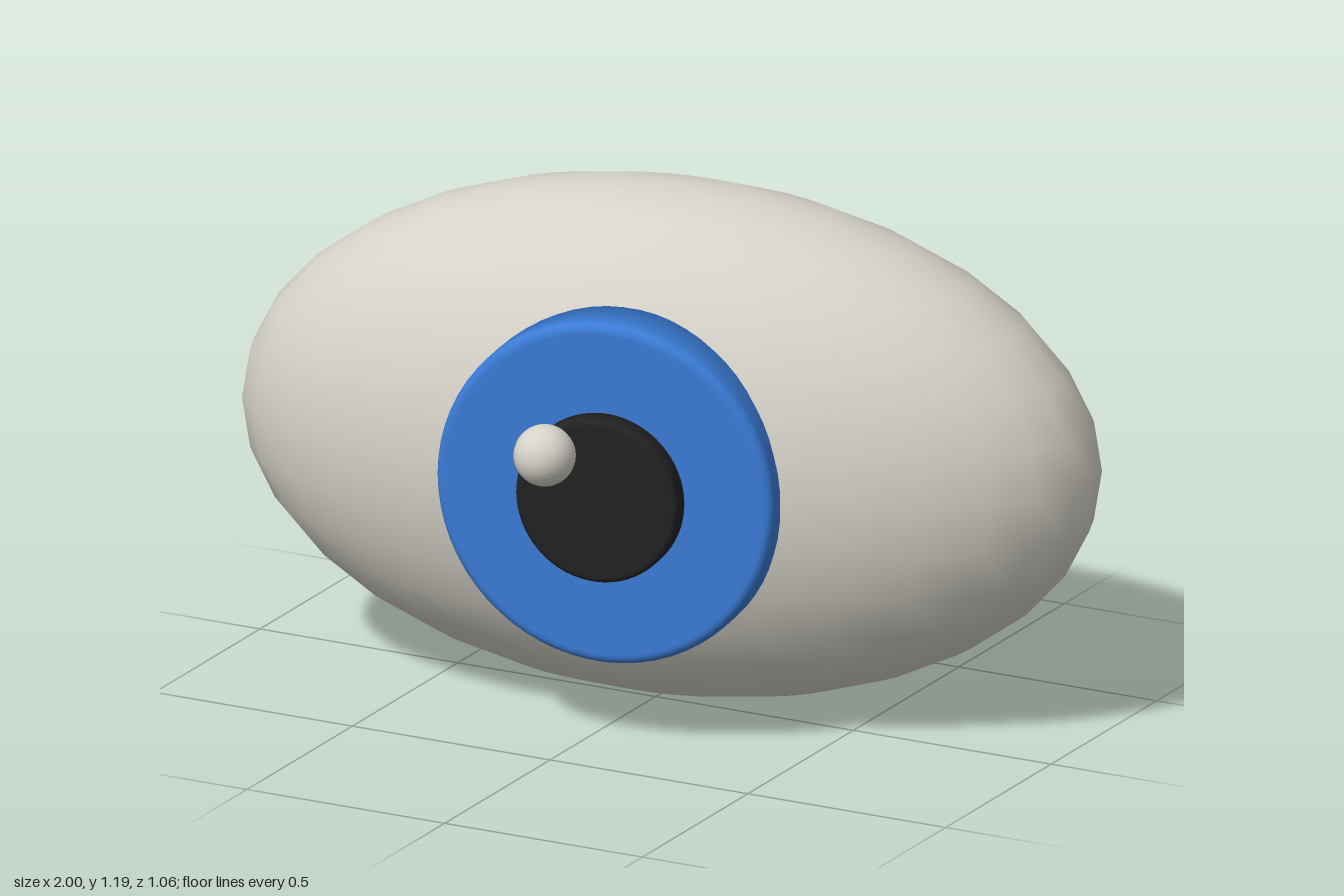
import * as THREE from 'three';

const eyeWhite = new THREE.MeshStandardMaterial({ name: 'warm white', color: 0xd6d2c8 });
const irisBlue = new THREE.MeshStandardMaterial({ name: 'iris blue', color: 0x3a7bd5 });
const pupilBlack = new THREE.MeshStandardMaterial({ name: 'pupil black', color: 0x222222 });

// Round disc facing +z with a softly rounded front rim
function disc(name, radius, back, front, bevel, material) {
  const points = [new THREE.Vector2(0, back), new THREE.Vector2(radius, back), new THREE.Vector2(radius, front - bevel - 0.003)];
  for (let i = 0; i <= 6; i++) {
    const a = (i / 6) * Math.PI / 2;
    points.push(new THREE.Vector2(radius - bevel + bevel * Math.cos(a), front - bevel + bevel * Math.sin(a)));
  }
  points.push(new THREE.Vector2(radius - bevel - 0.003, front), new THREE.Vector2(0, front));
  const geometry = new THREE.LatheGeometry(points, 64);
  geometry.rotateX(Math.PI / 2);
  const mesh = new THREE.Mesh(geometry, material);
  mesh.name = name;
  return mesh;
}

export function createModel() {
  const model = new THREE.Group();
  model.name = 'eye';

  // The whole eye is turned slightly to its left
  const turned = new THREE.Group();
  turned.name = 'turnedEye';
  turned.position.set(0, 0.6, -0.078);
  turned.rotation.y = THREE.MathUtils.degToRad(8.2);
  model.add(turned);

  // Eyeball: stretched sphere
  const ball = new THREE.Mesh(new THREE.SphereGeometry(1, 32, 16).scale(1.009, 0.595, 0.433), eyeWhite);
  ball.name = 'eyeball';
  turned.add(ball);

  // Iris and pupil discs
  turned.add(disc('iris', 0.4, 0.25, 0.45, 0.022, irisBlue));
  turned.add(disc('pupil', 0.192, 0.4, 0.503, 0.014, pupilBlack));

  // Round highlight
  const glint = new THREE.Mesh(new THREE.SphereGeometry(0.07, 24, 16), eyeWhite);
  glint.name = 'highlight';
  glint.position.set(-0.035, 0.705, 0.46);
  model.add(glint);

  return model;
}
